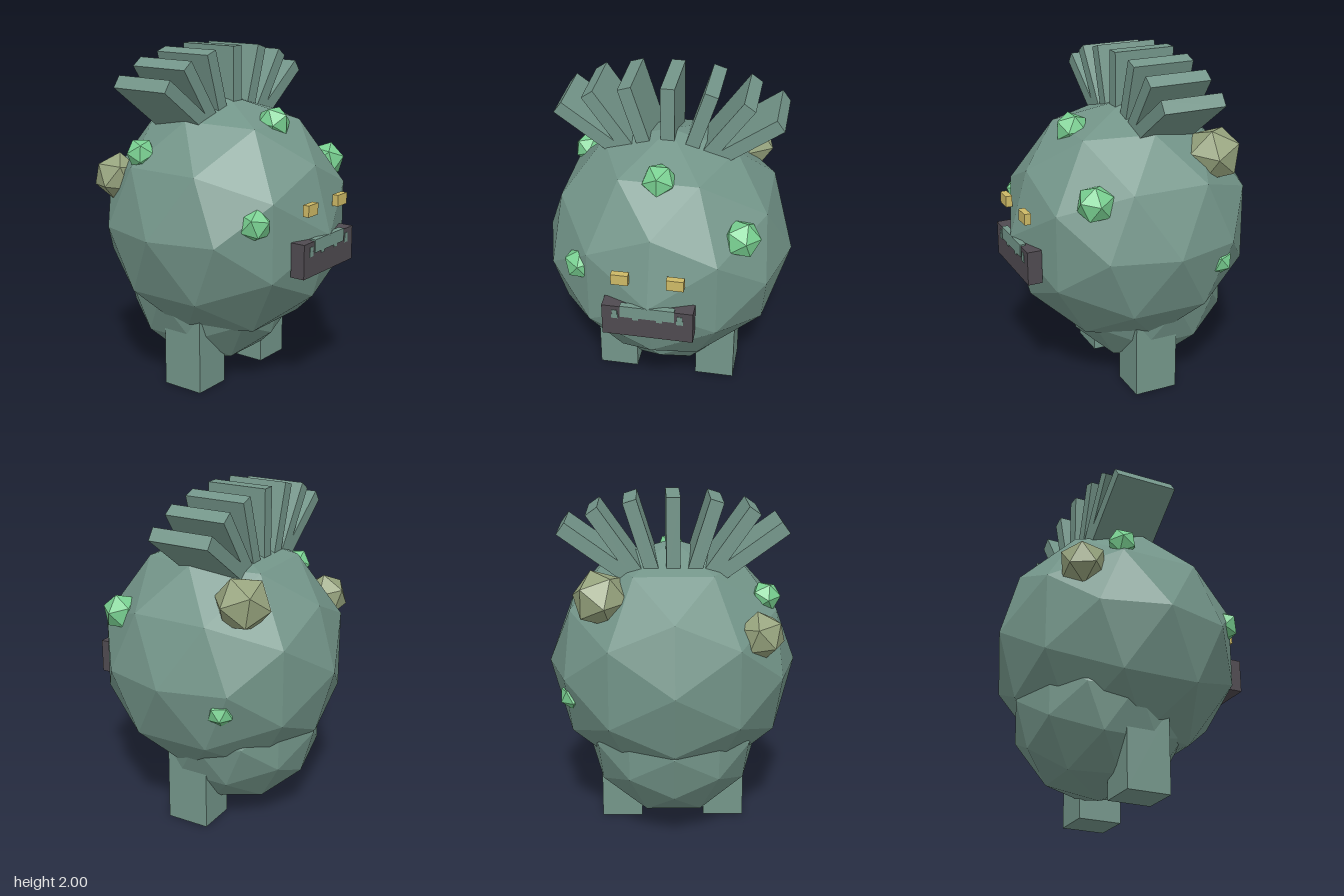
import * as THREE from 'three';

const paint = (name, color) => {
  const m = new THREE.MeshStandardMaterial({ color });
  m.name = name;
  m.flatShading = true;
  return m;
};

export function createModel() {
  const skin = paint('mossy teal', 0x739589);
  const stone = paint('olive stone', 0x96a37d);
  const crystal = paint('bright green', 0x78cf90);
  const gold = paint('dull gold', 0xcdb966);
  const dark = paint('dark grey', 0x4f4a50);

  const model = new THREE.Group();
  model.name = 'creature';

  const add = (name, geometry, material, x, y, z) => {
    const mesh = new THREE.Mesh(geometry, material);
    mesh.name = name;
    mesh.position.set(x, y, z);
    model.add(mesh);
    return mesh;
  };
  const box = (name, material, w, h, d, x, y, z) =>
    add(name, new THREE.BoxGeometry(w, h, d), material, x, y, z);

  // Faceted body and the lower belly behind it
  add('body', new THREE.IcosahedronGeometry(0.735, 1), skin, 0, 0.977, 0);
  add('belly', new THREE.IcosahedronGeometry(0.515, 1), skin, 0, 0.57, -0.1);

  // Crest: a fan of flat slabs, each given by its tip and tilt
  const slabLength = 0.48;
  const slab = (x, y, degrees) => {
    const a = THREE.MathUtils.degToRad(degrees);
    const mesh = box('crestSlab', skin, 0.08, slabLength, 0.37,
      x - Math.sin(a) * slabLength / 2, y - Math.cos(a) * slabLength / 2, -0.103);
    mesh.rotation.z = -a;
  };
  slab(0, 2, 0);
  for (const side of [-1, 1]) {
    slab(side * 0.244, 1.98, side * 17.5);
    slab(side * 0.456, 1.926, side * 35);
    slab(side * 0.63, 1.83, side * 54);

    // Legs, eyes and the outer teeth
    box('leg', skin, 0.242, 0.48, 0.262, side * 0.31, 0.24, 0);
    box('eye', gold, 0.097, 0.066, 0.038, side * 0.154, 1.151, 0.698);
    box('outerTooth', skin, 0.028, 0.03, 0.012, side * 0.184, 0.934, 0.725);
    box('outerTooth', skin, 0.038, 0.028, 0.012, side * 0.184, 0.907, 0.725);
    box('innerTooth', skin, 0.034, 0.018, 0.02, side * 0.068, 0.902, 0.722);
  }

  // Mouth with the upper lip in front
  box('mouth', dark, 0.515, 0.2, 0.086, 0, 0.875, 0.685);
  box('upperLip', skin, 0.306, 0.075, 0.035, 0, 0.946, 0.716);

  // Rocks and crystals half sunk in the body: radius, position, rotation
  const lump = (name, material, r, x, y, z, rx = 0, ry = 0, rz = 0) =>
    add(name, new THREE.IcosahedronGeometry(r, 0), material, x, y, z).rotation.set(rx, ry, rz);
  lump('rock', stone, 0.167, 0.41, 1.45, -0.36, 0.4, 0.3, 0.2);
  lump('rock', stone, 0.14, -0.49, 1.25, -0.43, 0.2, 0.8, 0.3);
  lump('crystal', crystal, 0.102, 0, 1.575, 0.34);
  lump('crystal', crystal, 0.112, 0.475, 1.29, 0.405, 0.3, 0.5, 0.2);
  lump('crystal', crystal, 0.1, -0.42, 1.09, 0.51, 0.2, 0.3, 0.5);
  lump('crystal', crystal, 0.09, -0.53, 1.417, -0.206, 0.5, 0.2, 0.1);
  lump('crystal', crystal, 0.08, 0.58, 0.86, -0.32, 0.1, 0.4, 0.6);

  return model;
}
